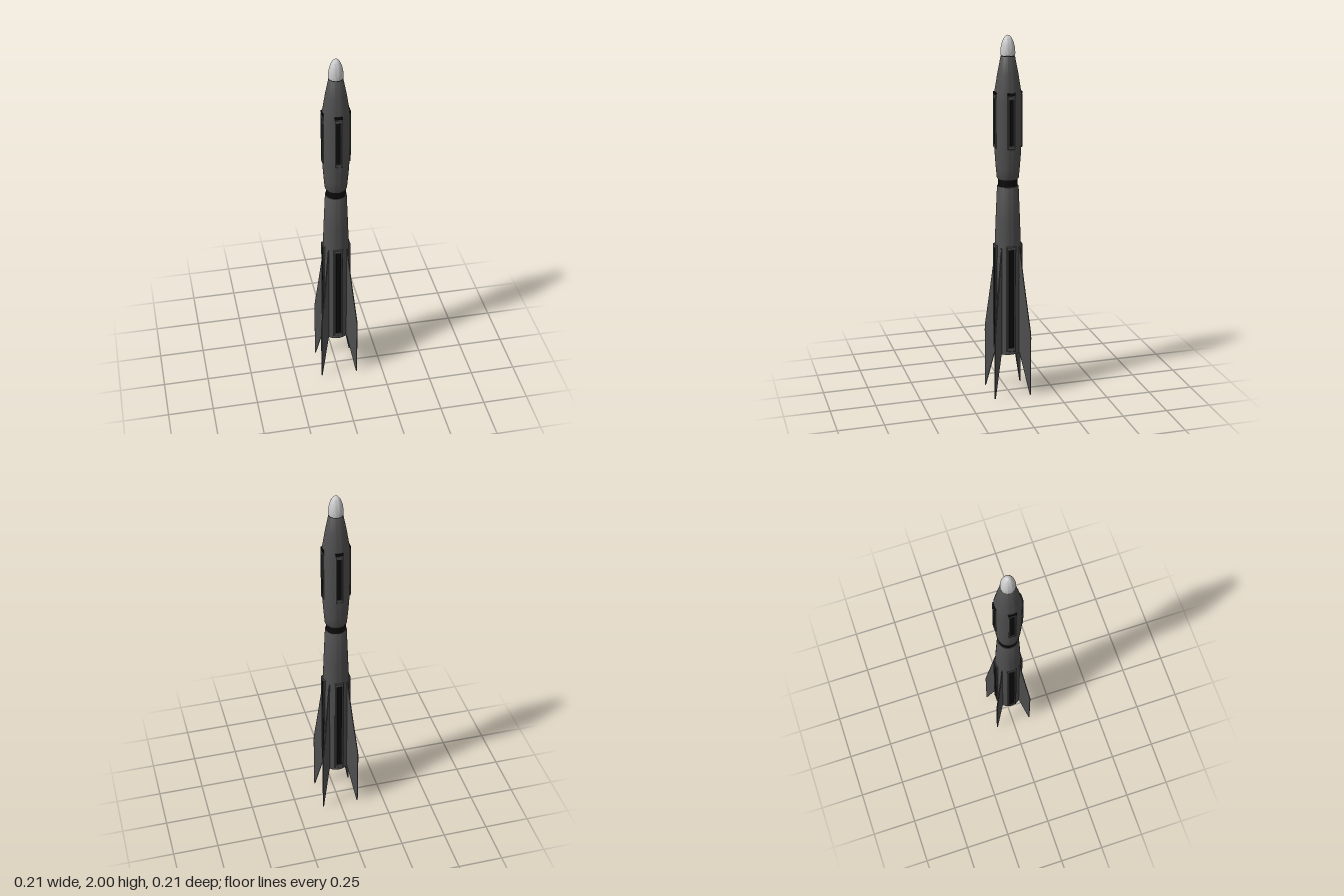
import * as THREE from 'three';
import { toCreasedNormals } from 'three/addons/utils/BufferGeometryUtils.js';

const material = (color) => new THREE.MeshStandardMaterial({ color });
const pale = material(0xcccccc);
const dark = material(0x505050);
const black = material(0x0c0c0c);

function mesh(name, geometry, mat) {
  const m = new THREE.Mesh(geometry, mat);
  m.name = name;
  return m;
}

// Profile of [radius, height], listed from bottom to top
function turned(name, profile, mat) {
  const points = profile.map(([r, y]) => new THREE.Vector2(r, y));
  return mesh(name, toCreasedNormals(new THREE.LatheGeometry(points, 48), 0.5), mat);
}

function rectangle(path, halfWidth, bottom, top) {
  path.moveTo(-halfWidth, bottom);
  path.lineTo(halfWidth, bottom);
  path.lineTo(halfWidth, top);
  path.lineTo(-halfWidth, top);
  path.closePath();
  return path;
}

// Raised frame around a dark slot, on the +z side of the hull
function slotPanel(name, { halfWidth, bottom, top, slotHalf, slotBottom, slotTop, face }) {
  const panel = new THREE.Group();
  panel.name = name;
  const bevel = 0.003;
  const shape = rectangle(new THREE.Shape(), halfWidth - bevel, bottom + bevel, top - bevel);
  shape.holes.push(rectangle(new THREE.Path(), slotHalf + bevel, slotBottom - bevel, slotTop + bevel));
  const frame = new THREE.ExtrudeGeometry(shape, {
    depth: 0.008, bevelEnabled: true, bevelSize: bevel, bevelThickness: bevel, bevelSegments: 1,
  });
  frame.translate(0, 0, face - 0.011);
  panel.add(mesh('slotFrame', frame, dark));
  const slot = new THREE.BoxGeometry(2 * slotHalf + 0.006, slotTop - slotBottom + 0.006, 0.01);
  slot.translate(0, (slotTop + slotBottom) / 2, face - 0.0078);
  panel.add(mesh('slot', slot, black));
  return panel;
}

// Swept fin lying in the xy plane
function finGeometry() {
  const shape = new THREE.Shape();
  shape.moveTo(0.066, 0.25);
  shape.lineTo(0.075, 0.245);
  shape.lineTo(0.14, 0.01);
  shape.quadraticCurveTo(0.143, 0, 0.146, 0.01);
  shape.lineTo(0.146, 0.34);
  shape.quadraticCurveTo(0.146, 0.37, 0.141, 0.4);
  shape.quadraticCurveTo(0.108, 0.61, 0.074, 0.86);
  shape.lineTo(0.066, 0.86);
  shape.closePath();
  const geometry = new THREE.ExtrudeGeometry(shape, {
    depth: 0.004, bevelEnabled: true, bevelSize: 0.001, bevelOffset: -0.001,
    bevelThickness: 0.001, bevelSegments: 1, curveSegments: 8,
  });
  geometry.translate(0, 0, -0.002);
  return geometry;
}

export function createModel() {
  const rocket = new THREE.Group();
  rocket.name = 'rocket';

  // Nose tip with a narrow joint below it
  const nose = [[0.034, 1.893], [0.038, 1.895], [0.039, 1.903]];
  for (let i = 1; i <= 14; i++) {
    const t = (i / 14) * Math.PI / 2;
    nose.push([0.039 * Math.pow(Math.cos(t), 1.1), 1.903 + 0.097 * Math.sin(t)]);
  }
  nose[nose.length - 1][0] = 0;
  rocket.add(turned('noseTip', nose, pale));
  rocket.add(turned('noseJoint', [[0.035, 1.88], [0.035, 1.896]], black));

  // Upper hull, neck and lower hull
  rocket.add(turned('upperHull', [
    [0, 1.235], [0.056, 1.235], [0.059, 1.24], [0.0645, 1.3], [0.069, 1.36], [0.072, 1.42],
    [0.0725, 1.5], [0.0725, 1.66], [0.071, 1.7], [0.055, 1.8], [0.038, 1.887], [0.036, 1.89], [0, 1.89],
  ], dark));
  rocket.add(turned('neck', [[0.053, 1.18], [0.053, 1.245]], black));
  rocket.add(turned('lowerHull', [
    [0.066, 0.262], [0.068, 0.247], [0.073, 0.247], [0.073, 0.7], [0.071, 0.86],
    [0.066, 1.0], [0.058, 1.19], [0.056, 1.195], [0, 1.195],
  ], dark));
  rocket.add(turned('tailPlate', [[0, 0.255], [0.068, 0.255]], black));

  // Slotted panels on the four sides
  for (let i = 0; i < 4; i++) {
    const upper = slotPanel('upperPanel', {
      halfWidth: 0.021, bottom: 1.405, top: 1.69,
      slotHalf: 0.01, slotBottom: 1.425, slotTop: 1.668, face: 0.0755,
    });
    // Dark cap strip above the upper panel
    const strip = new THREE.BoxGeometry(0.042, 0.014, 0.012);
    strip.translate(0, 1.698, 0.068);
    upper.add(mesh('panelCap', strip, black));
    const lower = slotPanel('lowerPanel', {
      halfWidth: 0.026, bottom: 0.265, top: 0.87,
      slotHalf: 0.014, slotBottom: 0.288, slotTop: 0.85, face: 0.077,
    });
    for (const panel of [upper, lower]) {
      panel.rotation.y = i * Math.PI / 2;
      rocket.add(panel);
    }
  }

  // Four diagonal fins
  const fin = finGeometry();
  for (let i = 0; i < 4; i++) {
    const m = mesh('fin', fin, dark);
    m.rotation.y = Math.PI / 4 + i * Math.PI / 2;
    rocket.add(m);
  }
  // Lathe tail plate faces downwards and is seen from below
  rocket.getObjectByName('tailPlate').material = black.clone();
  rocket.getObjectByName('tailPlate').material.side = THREE.DoubleSide;
  return rocket;
}
